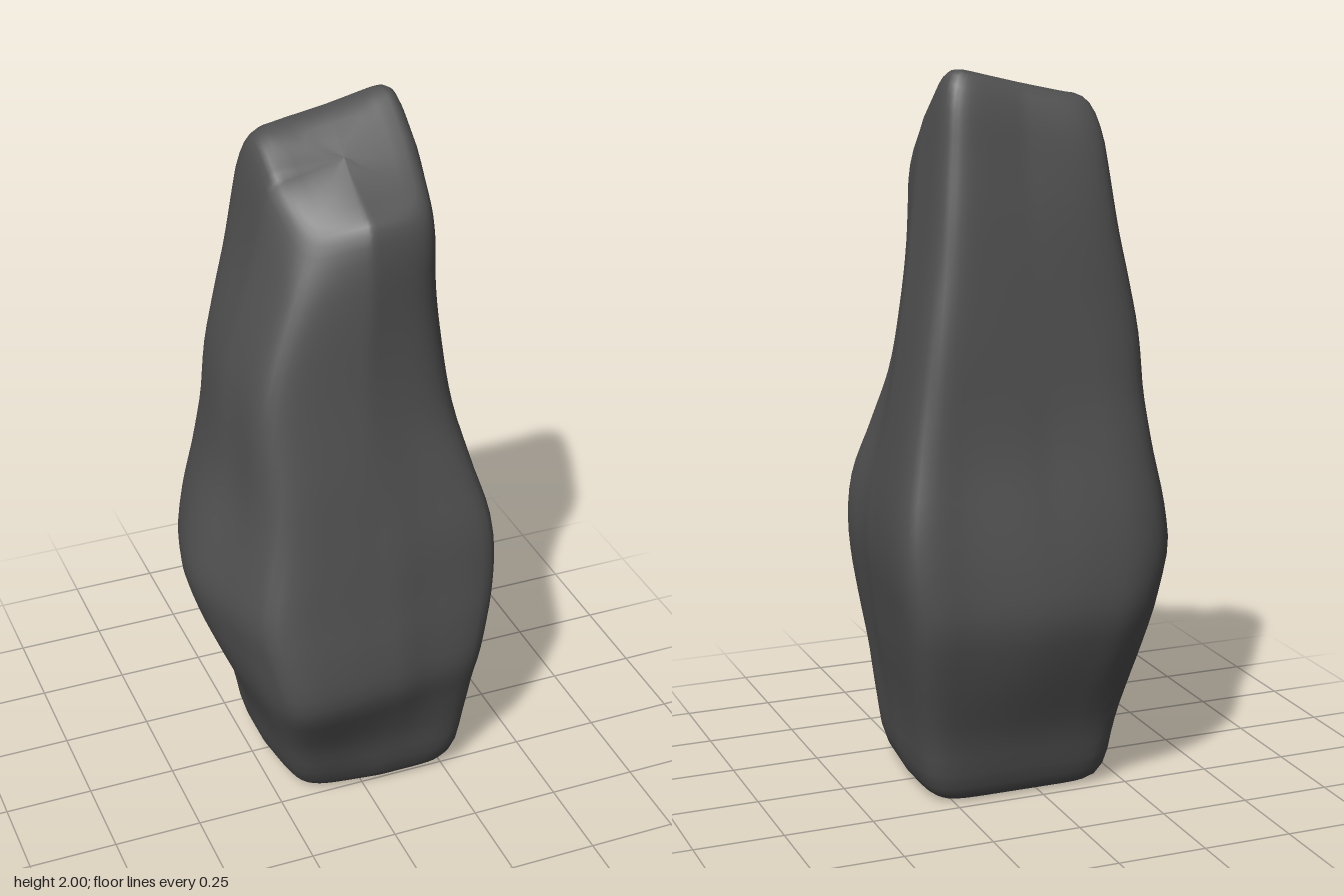
import * as THREE from 'three';

// Side limits of the rock by height: left x, right x, front z, back z
const heights = [0, 0.1, 0.2, 0.3, 0.42, 0.55, 0.68, 0.8, 1, 1.3, 1.6, 1.8, 2];
const limits = [
  [-0.22, 0.32, 0.275, -0.235], [-0.235, 0.333, 0.295, -0.25], [-0.26, 0.345, 0.317, -0.275],
  [-0.295, 0.362, 0.355, -0.315], [-0.345, 0.385, 0.4, -0.362], [-0.395, 0.405, 0.39, -0.398],
  [-0.426, 0.42, 0.36, -0.388], [-0.405, 0.415, 0.335, -0.365], [-0.343, 0.38, 0.29, -0.322],
  [-0.3, 0.335, 0.23, -0.288], [-0.215, 0.293, 0.205, -0.252], [-0.18, 0.267, 0.192, -0.22],
  [-0.165, 0.245, 0.185, -0.19],
];
const sides = new THREE.CubicInterpolant(heights, limits.flat(), 4);

// How far each upright edge is worn inward (or swells, if negative) by height:
// front left, front right, back left, back right as seen from the front
const wearHeights = [0, 0.2, 0.4, 0.6, 0.84, 1, 1.15, 1.35, 1.5, 1.75, 2];
const wear = [
  [0.04, 0, 0, 0], [0.005, -0.01, 0, 0], [-0.03, 0, 0, 0], [-0.02, -0.03, 0, 0],
  [0, -0.04, -0.033, -0.012], [0, 0, -0.038, -0.015], [0.01, 0.038, -0.015, -0.01],
  [0.03, 0.047, -0.005, -0.005], [0.05, 0.045, -0.012, 0], [0.095, 0.017, -0.028, 0],
  [0.1, 0, -0.02, 0],
];
const edges = new THREE.CubicInterpolant(wearHeights, wear.flat(), 4);

// Height of the sloping top from front (v = 1) to back (v = -1), lower on the x- side
const slope = new THREE.CubicInterpolant(
  [-1, -0.8, -0.55, -0.1, 0.15, 0.58, 1], [1.985, 2.0, 1.99, 1.915, 1.867, 1.803, 1.745], 1);
const topHeight = (u, v) => slope.evaluate(v)[0] + (u - 0.75) * (0.03 - 0.025 * v)
  - 0.05 * Math.max(0, -u) * Math.max(0, v);

// Outline of the wide belly, seen from above
const belly = new THREE.CatmullRomCurve3([
  [-0.425, 0.01], [-0.37, 0.2], [-0.33, 0.31], [-0.3, 0.37], [-0.24, 0.395], [-0.13, 0.4],
  [0.05, 0.39], [0.15, 0.365], [0.3, 0.335], [0.35, 0.315], [0.375, 0.27], [0.39, 0.13],
  [0.415, 0.01], [0.425, -0.29], [0.4, -0.345], [0.34, -0.365], [0.27, -0.37], [0.05, -0.4],
  [-0.13, -0.4], [-0.22, -0.39], [-0.3, -0.35], [-0.345, -0.29], [-0.39, -0.18],
].map(([x, z]) => new THREE.Vector3(x / 0.425, 0, z / 0.4)), true).getSpacedPoints(96).slice(0, -1);

// Blend from the belly outline to a squarer one towards both ends
function outline(p, y) {
  const a = Math.atan2(p.z, p.x), c = Math.cos(a), s = Math.sin(a), n = 7;
  const k = 1 / Math.pow(Math.abs(c) ** n + Math.abs(s) ** n, 1 / n);
  const v = s * k;
  const u = c * k * (c > 0 ? 1 - 0.1 * Math.max(0, v) : 1);
  const t = y < 0.6 ? 1 - THREE.MathUtils.smoothstep(y, 0, 0.6) : THREE.MathUtils.smoothstep(y, 0.7, 1.5);
  return [THREE.MathUtils.lerp(p.x, u, t), THREE.MathUtils.lerp(p.z, v, t)];
}

// Place a point of the unit outline at a height, within the sides and with worn edges
function place(u, v, y) {
  const [l, r, f, b] = sides.evaluate(y);
  const inward = edges.evaluate(y)[(v > 0 ? 0 : 2) + (u > 0 ? 1 : 0)];
  const d = inward * Math.min(1, 1.25 * Math.abs(u * v)) * Math.SQRT1_2;
  return [
    (l + r) / 2 + u * (r - l) / 2 - Math.sign(u) * d,
    y,
    (f + b) / 2 + v * (f - b) / 2 - Math.sign(v) * d,
  ];
}

function rockGeometry() {
  // Rings: inward scale k, and height from the ground (y), along the body (s) or below the top (drop)
  const rings = [{ k: 0, y: 0 }, { k: 0.45, y: 0 }, { k: 0.8, y: 0 }, { k: 0.87, y: 0.004 },
    { k: 0.93, y: 0.018 }, { k: 0.975, y: 0.045 }, { k: 1, y: 0.09 }];
  for (let i = 1; i <= 36; i++) rings.push({ k: 1, s: i / 36 });
  rings.push({ k: 0.985, drop: 0.07 }, { k: 0.96, drop: 0.04 }, { k: 0.92, drop: 0.018 },
    { k: 0.86, drop: 0.005 }, { k: 0.78, drop: 0 }, { k: 0.6, drop: 0 }, { k: 0.4, drop: 0 },
    { k: 0.2, drop: 0 }, { k: 0, drop: 0 });

  const count = belly.length, position = [], index = [];
  for (const { k, y: ground, s, drop } of rings) {
    for (const p of belly) {
      const rough = ground ?? (s !== undefined ? 0.09 + s * 1.6 : 1.8);
      const [ou, ov] = outline(p, rough);
      const u = ou * k, v = ov * k;
      const top = topHeight(u, v);
      const y = ground ?? (s !== undefined ? 0.09 + s * (top - 0.2) : top - drop);
      position.push(...place(u, v, y));
    }
  }
  for (let j = 0; j < rings.length - 1; j++) {
    for (let i = 0; i < count; i++) {
      const a = j * count + i, b = j * count + (i + 1) % count;
      if (j > 0) index.push(a, b, b + count);
      if (j < rings.length - 2) index.push(a, b + count, a + count);
    }
  }
  const geometry = new THREE.BufferGeometry();
  geometry.setAttribute('position', new THREE.Float32BufferAttribute(position, 3));
  geometry.setIndex(index);
  geometry.computeVertexNormals();
  return geometry;
}

export function createModel() {
  const stone = new THREE.MeshStandardMaterial({ color: 0x505050 });
  stone.name = 'darkStone';
  const rock = new THREE.Mesh(rockGeometry(), stone);
  rock.name = 'standingRock';
  const model = new THREE.Group();
  model.name = 'rock';
  model.add(rock);
  return model;
}
